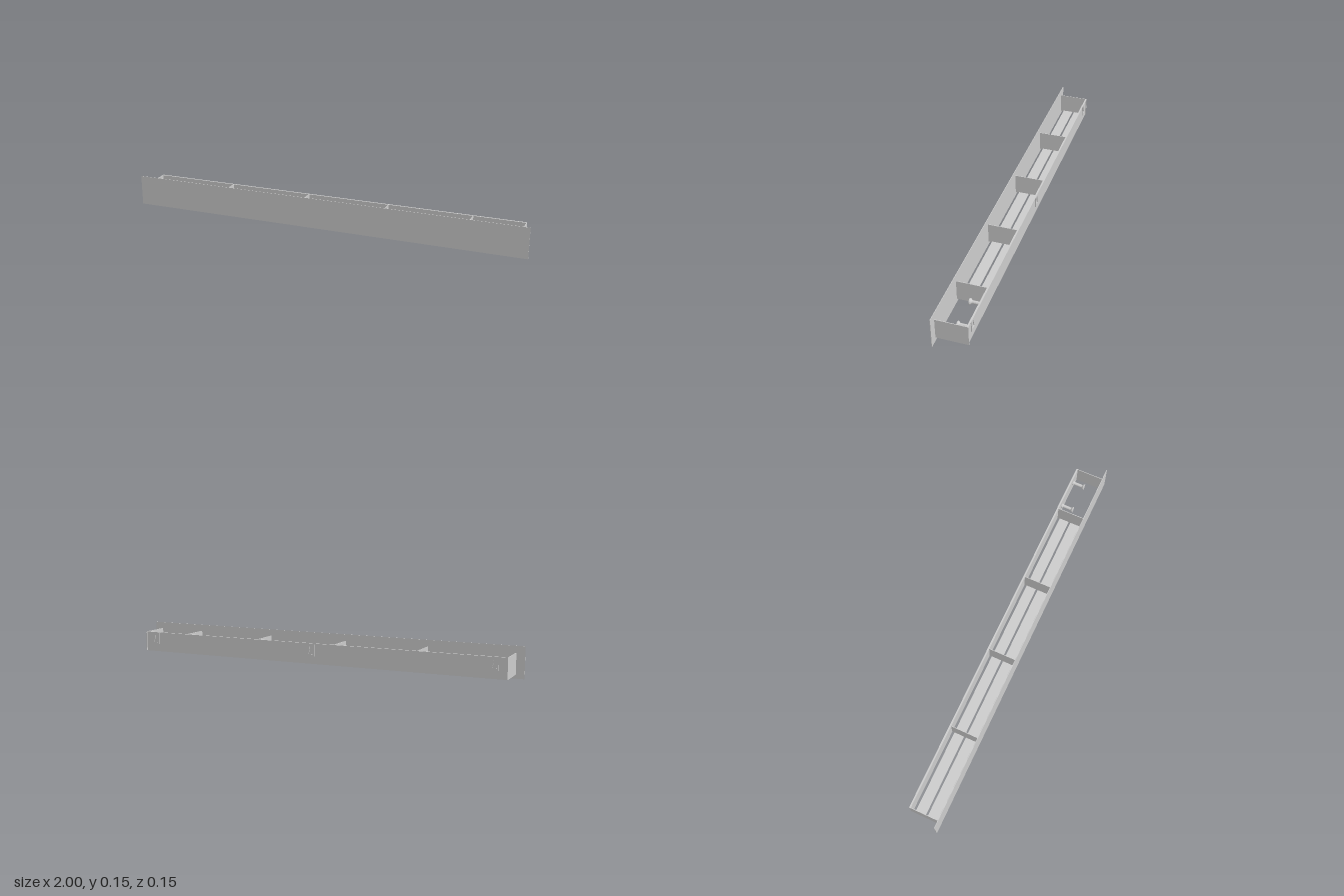
import * as THREE from 'three';

const material = new THREE.MeshStandardMaterial({ color: 0xcccccc, side: THREE.DoubleSide });

export function createModel() {
  const model = new THREE.Group();
  model.name = 'wallShelfTray';

  const add = (name, geometry, x = 0, y = 0, z = 0) => {
    const mesh = new THREE.Mesh(geometry, material);
    mesh.name = name;
    mesh.position.set(x, y, z);
    model.add(mesh);
    return mesh;
  };
  // Box given by its low and high limits on each axis
  const slab = (name, [x0, x1], [y0, y1], [z0, z1]) =>
    add(name, new THREE.BoxGeometry(x1 - x0, y1 - y0, z1 - z0),
      (x0 + x1) / 2, (y0 + y1) / 2, (z0 + z1) / 2);

  const bottom = 0.018, top = 0.118, end = 0.96, t = 0.003;
  const back = -0.075, wall = -0.07, wallInner = -0.067, front = 0.073;

  // Large front panel
  slab('frontPanel', [-1, 1], [0, 0.15], [front, 0.0755]);

  // Recessed back wall with an overhanging top lip
  slab('backWall', [-end, end], [bottom, top], [wall, wallInner]);
  slab('backLip', [-end, end], [top - 0.003, top], [back, wallInner]);

  // End plates
  slab('rightEndPlate', [-end, -end + t], [bottom, top], [back, front]);
  slab('leftEndPlate', [end - t, end], [bottom, top], [back, front]);

  // Compartment dividers
  for (const x of [-0.54, -0.12, 0.295, 0.71])
    slab('divider', [x - t / 2, x + t / 2], [bottom, top], [wallInner, front]);

  // Two floor slats, leaving the last compartment open below
  for (const z of [-0.03, 0.03])
    slab('floorSlat', [-end, 0.71], [bottom, bottom + 0.004], [z - 0.025, z + 0.025]);

  // Hook pegs in the open compartment
  const pegProfile = [[0, 0], [0.012, 0], [0.012, 0.004], [0.008, 0.008], [0.008, 0.05],
    [0.015, 0.058], [0.015, 0.062], [0, 0.062]].map(([r, h]) => new THREE.Vector2(r, h));
  for (const x of [0.76, 0.905]) {
    const peg = add('hookPeg', new THREE.LatheGeometry(pegProfile, 24).toNonIndexed(), x, 0.066, wallInner);
    peg.geometry.computeVertexNormals();
    peg.rotation.x = Math.PI / 2;
  }

  // Hanger plates with a keyhole slot on the back wall
  const plate = new THREE.Shape();
  plate.moveTo(-0.019, 0).lineTo(0.019, 0).lineTo(0.019, 0.06).lineTo(-0.019, 0.06).closePath();
  const slot = new THREE.Path();
  slot.moveTo(-0.011, 0.01).lineTo(-0.005, 0.035).lineTo(-0.005, 0.045);
  slot.absarc(0, 0.045, 0.005, Math.PI, 0, true);
  slot.lineTo(0.005, 0.035).lineTo(0.011, 0.01).closePath();
  plate.holes.push(slot);
  const hanger = new THREE.ExtrudeGeometry(plate, { depth: 0.004, bevelEnabled: false, curveSegments: 8 });
  for (const x of [-0.9, 0, 0.9]) add('hangerPlate', hanger, x, 0.055, wall - 0.004);

  return model;
}
